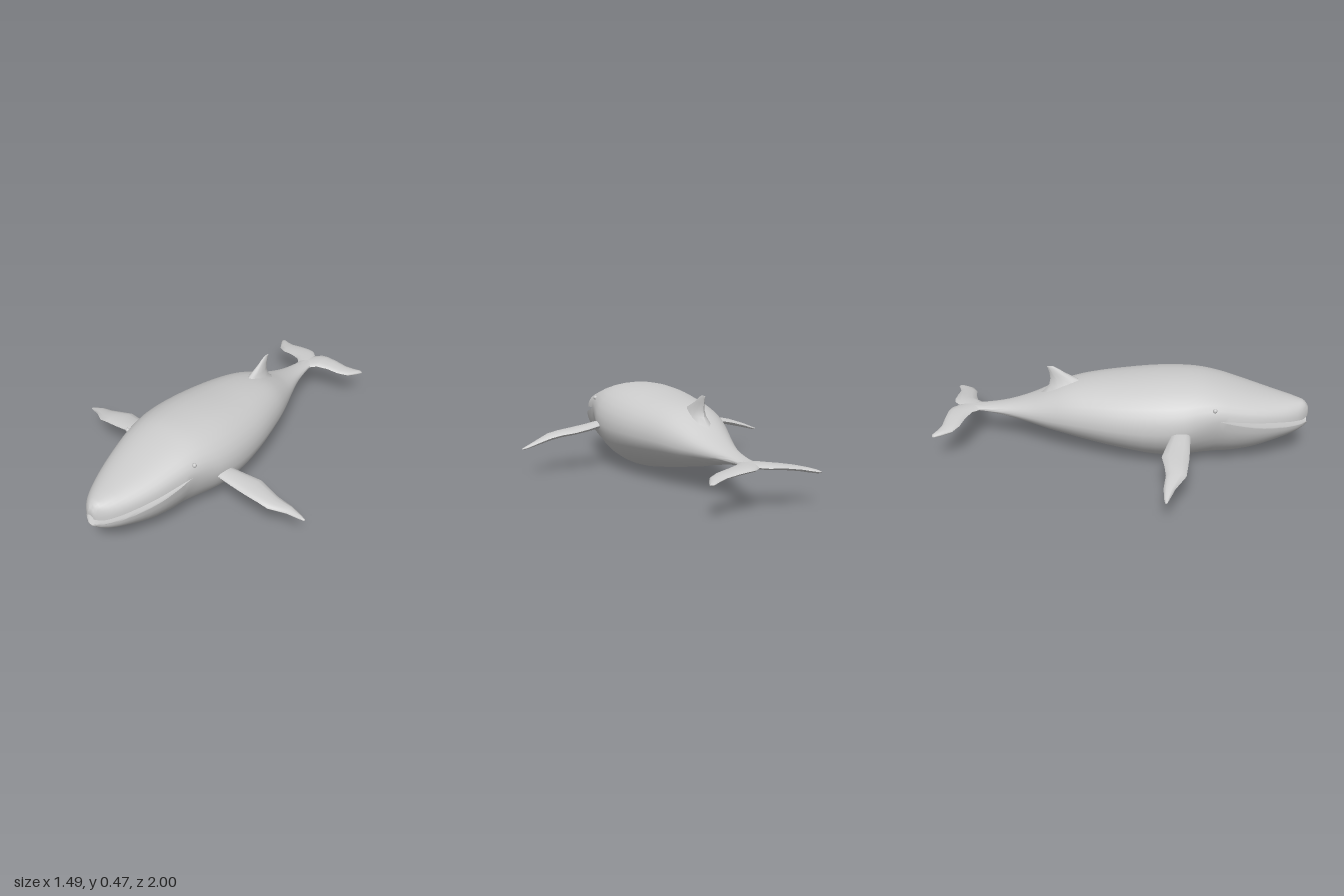
import * as THREE from 'three';
import { mergeVertices, toCreasedNormals } from 'three/addons/utils/BufferGeometryUtils.js';

const material = new THREE.MeshStandardMaterial({ color: 0xcccccc });

// Adds the quads between successive rows of points to a flat position list
function addGrid(out, rows) {
  const tri = (a, b, c) => {
    const area = b.clone().sub(a).cross(c.clone().sub(a)).length();
    if (area > 1e-9) out.push(...a.toArray(), ...b.toArray(), ...c.toArray());
  };
  for (let i = 0; i + 1 < rows.length; i++) {
    for (let j = 0; j + 1 < rows[i].length; j++) {
      const a = rows[i][j], b = rows[i + 1][j], c = rows[i + 1][j + 1], d = rows[i][j + 1];
      tri(a, b, c);
      tri(a, c, d);
    }
  }
}

function makeMesh(name, positions, crease) {
  const geometry = new THREE.BufferGeometry();
  geometry.setAttribute('position', new THREE.Float32BufferAttribute(positions, 3));
  const smooth = toCreasedNormals(mergeVertices(geometry, 1e-5), crease);
  const mesh = new THREE.Mesh(smooth, material);
  mesh.name = name;
  return mesh;
}

// Body stations: z, top, upper lip, lower lip, bottom, half width
const STATIONS = [
  [1.0, 0.30, 0.255, 0.222, 0.203, 0.022],
  [0.98, 0.328, 0.25, 0.224, 0.185, 0.05],
  [0.94, 0.342, 0.255, 0.228, 0.157, 0.086],
  [0.85, 0.36, 0.268, 0.238, 0.115, 0.135],
  [0.72, 0.39, 0.285, 0.258, 0.06, 0.185],
  [0.6, 0.422, 0.302, 0.288, 0.027, 0.218],
  [0.52, 0.442, 0.31, 0.31, 0.017, 0.238],
  [0.43, 0.46, 0.29, 0.29, 0.01, 0.264],
  [0.34, 0.465, 0.262, 0.262, 0.005, 0.288],
  [0.2, 0.46, 0.245, 0.245, 0.0, 0.296],
  [0, 0.437, 0.24, 0.24, 0.03, 0.275],
  [-0.2, 0.408, 0.235, 0.235, 0.068, 0.228],
  [-0.3, 0.382, 0.23, 0.23, 0.09, 0.198],
  [-0.4, 0.338, 0.22, 0.22, 0.11, 0.16],
  [-0.5, 0.29, 0.213, 0.213, 0.135, 0.12],
  [-0.64, 0.245, 0.205, 0.205, 0.165, 0.07],
  [-0.77, 0.222, 0.203, 0.203, 0.187, 0.045],
  [-0.86, 0.214, 0.203, 0.203, 0.192, 0.034],
  [-0.9, 0.206, 0.203, 0.203, 0.2, 0.01],
];
const MOUTH_CORNER = 6; // station where the jaws meet

function makeBody() {
  const SUB = 3, SEG = 16;
  const spline = new THREE.CubicInterpolant(
    STATIONS.map((s) => -s[0]), STATIONS.flatMap((s) => s.slice(1)), 5);
  const upper = [], lower = [], palate = [], floor = [];

  // Half loop from one side to the other, rising or falling by height
  const arc = (z, w, y, height, power, from) => {
    const row = [];
    for (let j = 0; j <= SEG; j++) {
      const t = (j / SEG) * Math.PI, c = Math.cos(t);
      const x = from * w * Math.sign(c) * Math.abs(c) ** power;
      const s = j === 0 || j === SEG ? 0 : Math.sin(t) ** power;
      row.push(new THREE.Vector3(x, y + height * s, z));
    }
    return row;
  };

  const last = (STATIONS.length - 1) * SUB;
  for (let i = 0; i <= last; i++) {
    const k = Math.min(Math.floor(i / SUB), STATIONS.length - 2);
    const z = THREE.MathUtils.lerp(STATIONS[k][0], STATIONS[k + 1][0], i / SUB - k);
    const [top, up, lo, bottom, w] = spline.evaluate(-z);
    const open = i < MOUTH_CORNER * SUB;
    const low = open ? Math.min(lo, up) : up;
    const gap = up - low;
    const jawWidth = w * (1 + gap * 1.5);
    upper.push(arc(z, w, up, top - up, 0.9, 1));
    lower.push(arc(z, jawWidth, low, bottom - low, 1.12, -1));
    if (i <= MOUTH_CORNER * SUB) {
      palate.push(arc(z, w, up, gap * 0.5, 1, -1));
      floor.push(arc(z, jawWidth, low, -gap * 0.4, 1, 1));
    }
  }

  const out = [];
  [upper, lower, palate, floor].forEach((patch) => addGrid(out, patch));
  // Blunt ends of both jaws
  addGrid(out, [palate[0].slice().reverse(), upper[0]]);
  addGrid(out, [lower[0].slice().reverse(), floor[0]]);
  // Tail stock end
  addGrid(out, [upper[last], lower[last].slice().reverse()]);
  return makeMesh('body', out, 0.9);
}

// Fin from sections [span, leading edge, trailing edge, offset, half thickness];
// place(span, chord, thickness) puts a point in space
function makeFin(name, sections, place) {
  const SEG = 12;
  const rows = sections.map(([span, lead, trail, offset, half]) => {
    const row = [];
    for (let j = 0; j <= SEG; j++) {
      const t = ((j % SEG) / SEG) * Math.PI * 2;
      const chord = (lead + trail) / 2 + ((lead - trail) / 2) * Math.cos(t);
      row.push(place(span, chord, offset + half * Math.sin(t)));
    }
    return row;
  });
  // Close both ends on their middle point
  const cap = (row) => {
    const mid = row[0].clone().lerp(row[SEG / 2], 0.5);
    return row.map(() => mid);
  };
  const all = [cap(rows[0]), ...rows, cap(rows[rows.length - 1])];
  let out = [];
  addGrid(out, all);
  // Turn the faces outward if the placement mirrored them
  let volume = 0;
  const [a, b, c] = [0, 1, 2].map(() => new THREE.Vector3());
  for (let i = 0; i < out.length; i += 9) {
    volume += a.fromArray(out, i).dot(b.fromArray(out, i + 3).cross(c.fromArray(out, i + 6)));
  }
  if (volume < 0) {
    out = [];
    addGrid(out, all.map((row) => row.slice().reverse()));
  }
  return makeMesh(name, out, 1.0);
}

const FLIPPER = [
  [0.24, 0.375, 0.28, 0.245, 0.018],
  [0.3, 0.38, 0.275, 0.238, 0.02],
  [0.36, 0.38, 0.26, 0.228, 0.019],
  [0.45, 0.38, 0.24, 0.217, 0.018],
  [0.52, 0.375, 0.258, 0.207, 0.018],
  [0.58, 0.37, 0.268, 0.194, 0.018],
  [0.66, 0.32, 0.262, 0.172, 0.013],
  [0.72, 0.295, 0.268, 0.152, 0.008],
  [0.745, 0.285, 0.275, 0.146, 0.003],
];

const FLUKE = [
  [0, -0.76, -0.92, 0.203, 0.014],
  [0.035, -0.785, -0.955, 0.203, 0.015],
  [0.07, -0.83, -0.963, 0.202, 0.015],
  [0.13, -0.855, -0.965, 0.196, 0.014],
  [0.2, -0.87, -0.966, 0.185, 0.013],
  [0.25, -0.9, -0.985, 0.176, 0.012],
  [0.28, -0.95, -1.0, 0.171, 0.009],
  [0.296, -0.982, -0.994, 0.169, 0.003],
];

const DORSAL = [
  [0.29, -0.15, -0.48, 0, 0.085],
  [0.33, -0.17, -0.43, 0, 0.065],
  [0.365, -0.19, -0.403, 0, 0.042],
  [0.4, -0.235, -0.396, 0, 0.023],
  [0.435, -0.31, -0.4, 0, 0.013],
  [0.46, -0.35, -0.408, 0, 0.008],
  [0.472, -0.375, -0.413, 0, 0.004],
];

export function createModel() {
  const model = new THREE.Group();
  model.name = 'whale';
  model.add(makeBody());
  model.add(makeFin('dorsalFin', DORSAL, (s, c, t) => new THREE.Vector3(t, s, c)));

  for (const [label, side] of [['left', 1], ['right', -1]]) {
    const place = (s, c, t) => new THREE.Vector3(side * s, t, c);
    model.add(makeFin(label + 'Flipper', FLIPPER, place));
    model.add(makeFin(label + 'Fluke', FLUKE, place));

    const eye = new THREE.Mesh(new THREE.SphereGeometry(0.012, 12, 8), material);
    eye.name = label + 'Eye';
    eye.position.set(side * 0.226, 0.37, 0.5);
    model.add(eye);
  }
  return model;
}
